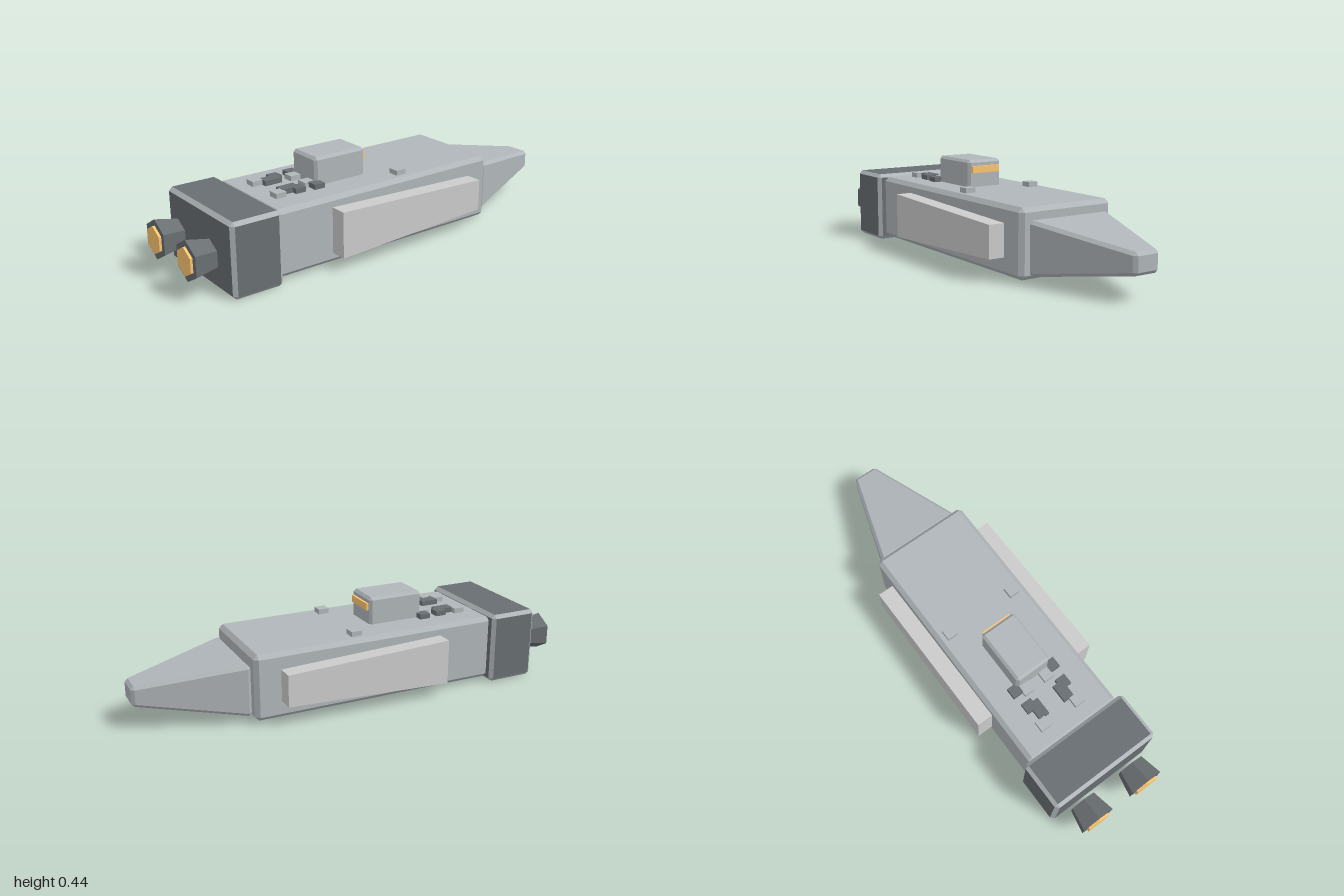
import * as THREE from 'three';
import { ConvexGeometry } from 'three/addons/geometries/ConvexGeometry.js';

const paint = (color) => new THREE.MeshStandardMaterial({ color, flatShading: true });

export function createModel() {
  const model = new THREE.Group();
  const hullGrey = paint(0xb0b6b9);
  const darkGrey = paint(0x696e72);
  const panelGrey = paint(0xcccccc);
  const glow = paint(0xfdc571);

  const add = (name, geometry, material, x = 0, y = 0, z = 0) => {
    const mesh = new THREE.Mesh(geometry, material);
    mesh.name = name;
    mesh.position.set(x, y, z);
    model.add(mesh);
    return mesh;
  };

  // Chamfered block between two rectangular ends; each end is { z, w, y0, y1 } (w = half width)
  const chamfered = (back, front, c) => {
    const points = [];
    for (const [end, inward] of [[back, 1], [front, -1]]) {
      const { z, w, y0, y1 } = end;
      for (const s of [-1, 1]) {
        for (const [y, d] of [[y0, 1], [y1, -1]]) {
          points.push(
            new THREE.Vector3(s * (w - c), y + d * c, z),
            new THREE.Vector3(s * w, y + d * c, z + inward * c),
            new THREE.Vector3(s * (w - c), y, z + inward * c),
          );
        }
      }
    }
    return new ConvexGeometry(points);
  };
  const chamferedBox = (w, y0, y1, z0, z1, c) =>
    chamfered({ z: z0, w, y0, y1 }, { z: z1, w, y0, y1 }, c);

  // Gives the flat sides material 0 and the chamfers material 1
  const splitChamfers = (geometry) => {
    const n = geometry.attributes.normal;
    for (let i = 0; i < n.count; i += 3) {
      const flat = Math.max(Math.abs(n.getX(i)), Math.abs(n.getY(i)), Math.abs(n.getZ(i))) > 0.99;
      geometry.addGroup(i, 3, flat ? 0 : 1);
    }
    return geometry;
  };

  // Main body
  add('hull', chamferedBox(0.235, 0.017, 0.314, -0.525, 0.64, 0.019), hullGrey);
  add('nose', chamfered(
    { z: -1, w: 0.063, y0: 0.108, y1: 0.2 },
    { z: -0.528, w: 0.203, y0: 0.035, y1: 0.265 }, 0.014), hullGrey);
  add('engineBlock', splitChamfers(chamferedBox(0.267, 0, 0.327, 0.63, 0.86, 0.016)),
    [darkGrey, hullGrey]);

  // Bridge with its window strip
  add('bridge', chamferedBox(0.088, 0.3, 0.438, 0.084, 0.346, 0.012), hullGrey);
  add('bridgeWindow', new THREE.BoxGeometry(0.145, 0.032, 0.03), glow, 0, 0.395, 0.088);

  // Side panel outline in (z, y), tapering towards the nose
  const outline = new THREE.Shape([
    [-0.365, 0.062], [0.408, 0.096], [0.408, 0.239], [-0.365, 0.267],
  ].map(([a, b]) => new THREE.Vector2(a, b)));
  const panel = new THREE.ExtrudeGeometry(outline, { depth: 0.09, bevelEnabled: false });
  panel.rotateY(Math.PI / 2);

  // Roof details on one side: [x, z, isDark]
  const details = [
    [0.171, -0.036, false], [0.1, 0.35, true], [0.053, 0.37, false],
    [0.092, 0.44, true], [0.067, 0.457, true], [0.067, 0.49, true], [0.092, 0.537, false],
  ];

  for (const [side, s] of [['left', 1], ['right', -1]]) {
    add(`${side}SidePanel`, panel, panelGrey, s > 0 ? 0.22 : -0.31, 0, 0);

    for (const [x, z, dark] of details) {
      add(`${side}RoofDetail`, new THREE.BoxGeometry(0.05, 0.035, 0.05),
        dark ? darkGrey : hullGrey, s * x, 0.319, z);
    }

    // Flared six-sided nozzle and glowing core
    const nozzle = new THREE.CylinderGeometry(0.089, 0.067, 0.104, 6);
    nozzle.rotateX(Math.PI / 2);
    add(`${side}Nozzle`, nozzle, darkGrey, s * 0.133, 0.163, 0.937);
    const core = new THREE.CylinderGeometry(0.062, 0.062, 0.03, 6);
    core.rotateX(Math.PI / 2);
    add(`${side}NozzleGlow`, core, glow, s * 0.133, 0.163, 0.985);
  }

  return model;
}
